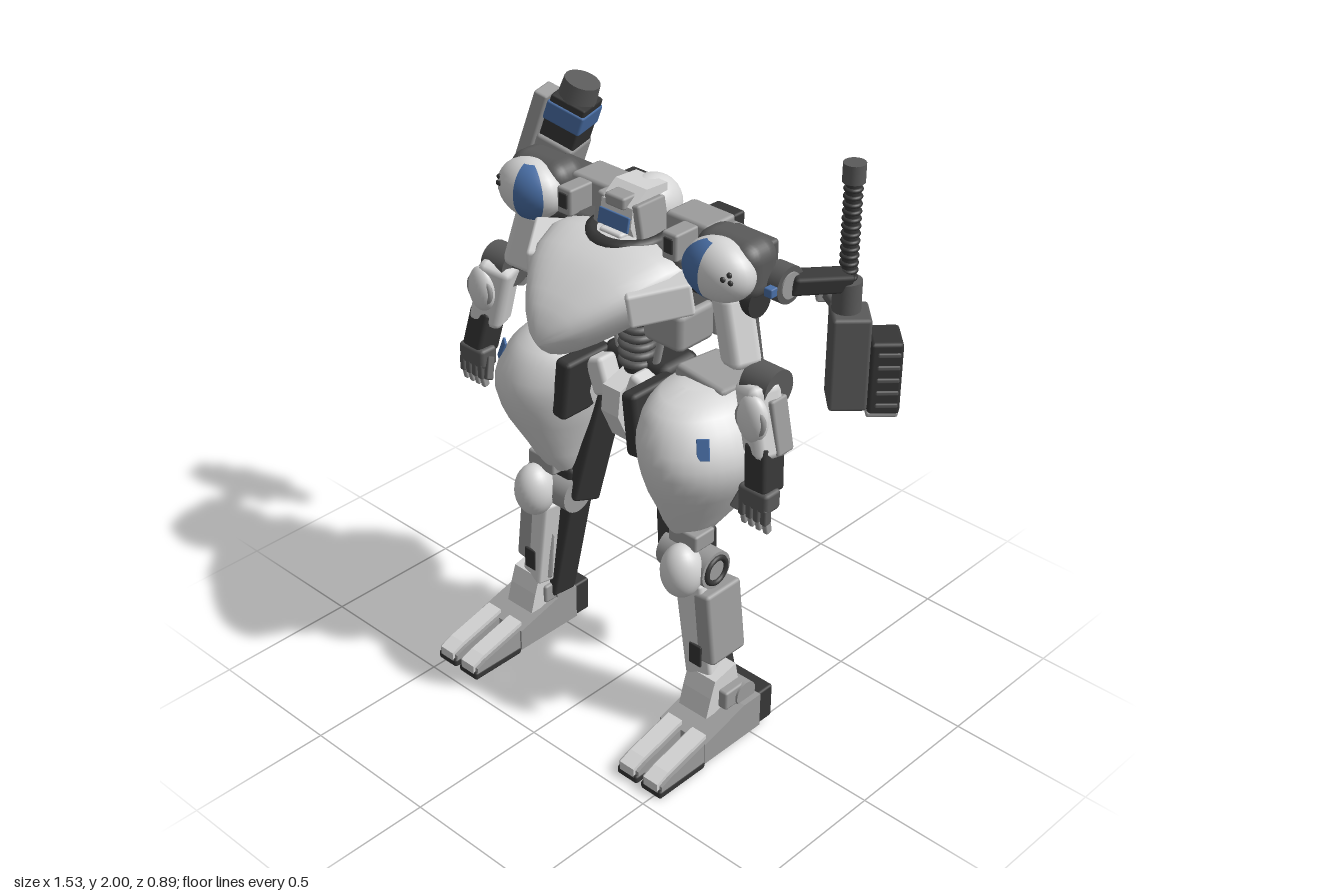
import * as THREE from 'three';
import { toCreasedNormals } from 'three/addons/utils/BufferGeometryUtils.js';
import { RoundedBoxGeometry } from 'three/addons/geometries/RoundedBoxGeometry.js';

const colour = (name, hex) => Object.assign(new THREE.MeshStandardMaterial({ color: hex }), { name });
const V = (p) => new THREE.Vector3(...p);
const X = [0, 0, Math.PI / 2];

const box = (w, h, d, r = 0.008, s = 1) => new RoundedBoxGeometry(w, h, d, s, r);
const cyl = (r1, r2, h, n = 20) => new THREE.CylinderGeometry(r1, r2, h, n);
const ball = (x, y, z) => new THREE.SphereGeometry(1, 28, 18).scale(x, y, z);
const ring = (r, t) => new THREE.TorusGeometry(r, t, 8, 24);

// Extrude a (z, y) side profile across x
function side(points, width) {
  const shape = new THREE.Shape(points.map((p) => new THREE.Vector2(...p)));
  const g = new THREE.ExtrudeGeometry(shape, { depth: width, bevelEnabled: false });
  return g.translate(0, 0, -width / 2).rotateY(-Math.PI / 2);
}

// Box running from a to b
function beam(a, b, w, d, r = 0.012) {
  const dir = V(b).sub(V(a));
  const g = box(w, dir.length(), d, r);
  const mid = V(a).add(V(b)).multiplyScalar(0.5);
  return g.applyQuaternion(new THREE.Quaternion().setFromUnitVectors(V([0, 1, 0]), dir.normalize())).translate(mid.x, mid.y, mid.z);
}

// Skin a list of equal-sized rings and close both ends
function loft(rings, crease) {
  const n = rings[0].length, pos = rings.flat(2), idx = [];
  for (let i = 0; i < rings.length - 1; i++) for (let j = 0; j < n; j++) {
    const a = i * n + j, b = i * n + (j + 1) % n;
    idx.push(a, b, b + n, a, b + n, a + n);
  }
  const last = (rings.length - 1) * n;
  for (let j = 1; j < n - 1; j++) idx.push(0, j + 1, j, last, last + j, last + j + 1);
  const g = new THREE.BufferGeometry();
  g.setAttribute('position', new THREE.Float32BufferAttribute(pos, 3));
  g.setIndex(idx);
  g.computeVertexNormals();
  return toCreasedNormals(g, crease);
}

// Mirror in x, restoring the corner order
function mirrored(geo) {
  const g = (geo.index ? geo.toNonIndexed() : geo.clone()).scale(-1, 1, 1);
  for (const { array, itemSize: k } of Object.values(g.attributes))
    for (let t = 0; t < array.length; t += 3 * k) for (let c = 0; c < k; c++) {
      const q = array[t + k + c];
      array[t + k + c] = array[t + 2 * k + c];
      array[t + 2 * k + c] = q;
    }
  return g;
}

export function createModel() {
  const light = colour('light armour', 0xd6d6d6), grey = colour('mid grey', 0x9c9c9c);
  const dark = colour('dark grey', 0x5a5a5a), black = colour('charcoal', 0x363636), blue = colour('blue', 0x4a70a8);
  const model = new THREE.Group();
  let group;
  const section = (name) => { group = new THREE.Group(); group.name = name; model.add(group); };
  const one = (name, mat, geo, p = [0, 0, 0], r = [0, 0, 0]) => {
    geo.rotateX(r[0]).rotateY(r[1]).rotateZ(r[2]).translate(...p);
    const m = new THREE.Mesh(geo, mat);
    m.name = name;
    group.add(m);
    return m;
  };
  const pair = (name, mat, geo, p, r) => {
    const m = one(name + 'Left', mat, geo, p, r);
    const o = new THREE.Mesh(mirrored(m.geometry), mat);
    o.name = name + 'Right';
    group.add(o);
  };

  section('feet');
  pair('foot', grey, side([[-0.03, 0.02], [0.24, 0.02], [0.24, 0.1], [0.05, 0.15], [-0.03, 0.15]], 0.2), [0.43, 0, 0]);
  pair('heel', black, box(0.19, 0.13, 0.075), [0.43, 0.085, -0.06]);
  for (const x of [0.38, 0.485]) {
    pair('toe', light, side([[0.22, 0.02], [0.45, 0.02], [0.45, 0.055], [0.4, 0.075], [0.22, 0.12]], 0.06), [x, 0, 0]);
    pair('toeEdge', grey, side([[0.22, 0.02], [0.44, 0.02], [0.44, 0.045], [0.4, 0.06], [0.22, 0.105]], 0.085), [x, 0, 0]);
    pair('toeSole', black, box(0.088, 0.03, 0.215), [x, 0.015, 0.343]);
    for (const y of [0.05, 0.085, 0.12]) pair('heelStud', black, box(0.05, 0.02, 0.012, 0.004), [x, y, -0.1]);
  }
  pair('ankleGuard', light, side([[0, 0.13], [0.17, 0.13], [0.15, 0.2], [0.13, 0.26], [0.03, 0.28]], 0.12), [0.41, 0, 0]);
  pair('ankleCuff', grey, box(0.165, 0.07, 0.1), [0.42, 0.18, 0.06]);
  pair('ankleJoint', grey, cyl(0.045, 0.045, 0.18), [0.42, 0.17, 0.02], X);

  section('shins');
  pair('shinFrame', black, beam([0.27, 0.66, 0.03], [0.38, 0.17, 0.025], 0.11, 0.1));
  pair('shinArmour', light, beam([0.335, 0.59, 0.085], [0.385, 0.24, 0.08], 0.1, 0.1));
  pair('shinSidePlate', grey, beam([0.395, 0.57, 0.05], [0.425, 0.31, 0.05], 0.07, 0.16));
  pair('shinVent', black, box(0.05, 0.08, 0.01, 0.003), [0.385, 0.33, 0.133]);
  pair('shinRod', grey, beam([0.31, 0.55, 0.1], [0.345, 0.25, 0.09], 0.03, 0.03));
  pair('kneeJoint', grey, cyl(0.066, 0.066, 0.2, 28), [0.31, 0.645, 0.07], X);
  pair('kneeRing', black, ring(0.045, 0.01), [0.41, 0.645, 0.07], [0, Math.PI / 2, 0]);
  pair('kneeBack', black, box(0.13, 0.16, 0.11, 0.02), [0.28, 0.67, 0.04]);
  pair('kneecap', light, ball(0.07, 0.095, 0.07), [0.335, 0.65, 0.15]);
  pair('kneeTop', grey, box(0.12, 0.06, 0.09), [0.32, 0.755, 0.09]);

  section('thighs');
  // y, centre x, radius x, centre z, radius z
  const thigh = [[0.74, 0.28, 0.055, 0.04, 0.08], [0.77, 0.285, 0.075, 0.035, 0.105], [0.815, 0.292, 0.098, 0.02, 0.148],
    [0.86, 0.3, 0.12, 0.005, 0.185], [0.95, 0.313, 0.163, 0.002, 0.237], [1.0, 0.319, 0.181, 0.006, 0.252], [1.05, 0.321, 0.193, 0.01, 0.26],
    [1.09, 0.317, 0.197, 0.01, 0.261], [1.13, 0.31, 0.194, 0.008, 0.255], [1.19, 0.298, 0.172, 0.005, 0.23],
    [1.225, 0.29, 0.146, 0.005, 0.2], [1.25, 0.285, 0.115, 0.005, 0.155], [1.268, 0.285, 0.06, 0.005, 0.08]];
  pair('thighShell', light, loft(thigh.map(([y, cx, rx, cz, rz]) => Array.from({ length: 36 }, (_, i) => {
    const a = i / 36 * Math.PI * 2;
    return [cx + rx * Math.sin(a), y, cz + rz * Math.cos(a)];
  })), 0.9));
  pair('thighFrame', black, beam([0.14, 1.2, -0.03], [0.24, 0.64, 0.04], 0.1, 0.14));
  pair('hipBracket', black, box(0.06, 0.22, 0.2, 0.015), [0.155, 1.13, 0.1], [0, 0, 0.12]);
  pair('thighCap', grey, box(0.2, 0.05, 0.2, 0.015), [0.28, 1.25, -0.07], [-0.12, 0, -0.12]);
  pair('thighMark', blue, box(0.04, 0.07, 0.009, 0.003), [0.44, 1.16, 0.178], [-0.25, 0.62, 0.1]);
  pair('thighVent', black, box(0.045, 0.1, 0.02), [0.31, 1.065, -0.252]);
  for (let i = 0; i < 4; i++) pair('thighVentRib', dark, box(0.035, 0.01, 0.012, 0.003), [0.31, 1.03 + i * 0.023, -0.262]);

  section('pelvis');
  one('pelvisBlock', black, box(0.28, 0.2, 0.17, 0.03), [0, 1.15, -0.06]);
  one('crotchGuard', light, side([[0.02, 1.2], [0.02, 1.02], [0.08, 0.97], [0.13, 1.08], [0.12, 1.17]], 0.075));
  pair('hipPlate', light, box(0.075, 0.13, 0.08, 0.015), [0.08, 1.17, 0.07], [0, 0, -0.35]);
  one('waistCore', black, cyl(0.045, 0.045, 0.28), [0, 1.31, 0]);
  for (let i = 0; i < 7; i++) one('waistRing', dark, ring(0.052, 0.013), [0, 1.23 + i * 0.031, 0], [Math.PI / 2, 0, 0]);
  pair('waistPiston', grey, beam([0.07, 1.2, 0], [0.12, 1.42, 0], 0.025, 0.025));

  section('torso');
  // z, half width, widest y, top y, keel y
  const chest = [[0.04, 0.26, 1.62, 1.705, 1.42], [0.13, 0.255, 1.62, 1.71, 1.4], [0.22, 0.228, 1.6, 1.68, 1.39],
    [0.27, 0.2, 1.582, 1.655, 1.385], [0.31, 0.17, 1.56, 1.625, 1.385], [0.35, 0.135, 1.535, 1.595, 1.39],
    [0.385, 0.098, 1.51, 1.56, 1.405], [0.415, 0.055, 1.48, 1.52, 1.43], [0.43, 0.012, 1.46, 1.475, 1.45]];
  one('chestHull', light, loft(chest.map(([z, w, m, t, k]) => Array.from({ length: 32 }, (_, i) => {
    const a = i / 32 * Math.PI * 2, c = Math.cos(a), s = Math.sin(a), e = s > 0 ? 0.75 : 1.35;
    return [w * Math.sign(c) * Math.abs(c) ** e, m + (s > 0 ? t - m : k - m) * Math.abs(s) ** e, z];
  })), 0.6));
  one('torsoCore', dark, box(0.5, 0.28, 0.2, 0.02), [0, 1.56, -0.02]);
  pair('chestSidePlate', light, box(0.1, 0.11, 0.2, 0.012), [0.235, 1.59, 0.16], [0.15, -0.65, 0]);
  pair('sideIntake', grey, box(0.16, 0.13, 0.16, 0.02), [0.19, 1.45, 0.02]);
  pair('collarBlock', grey, box(0.06, 0.09, 0.1), [0.22, 1.735, 0.05]);
  pair('collarVent', black, box(0.035, 0.05, 0.008, 0.003), [0.22, 1.74, 0.102]);
  pair('shoulderAxle', black, cyl(0.05, 0.05, 0.3), [0.35, 1.62, 0.01], X);

  section('head');
  one('neckCollar', black, ring(0.115, 0.025), [0, 1.69, 0.04], [Math.PI / 2, 0, 0]);
  one('headDome', light, ball(0.09, 0.1, 0.11), [0, 1.745, -0.055]);
  one('helmet', light, side([[-0.06, 1.69], [0.08, 1.69], [0.1, 1.74], [0.09, 1.8], [0.03, 1.845], [-0.06, 1.84]], 0.13));
  one('browBlock', grey, box(0.08, 0.04, 0.08), [0, 1.81, 0.065]);
  one('visor', blue, box(0.125, 0.05, 0.009, 0.003), [0, 1.75, 0.105], [-0.2, 0, 0]);
  one('chinGuard', light, box(0.09, 0.03, 0.04), [0, 1.705, 0.105]);
  pair('cheekGuard', grey, box(0.03, 0.12, 0.12), [0.082, 1.755, 0.03], [0, 0, 0.2]);

  section('backpack');
  pair('packBody', grey, box(0.17, 0.34, 0.13, 0.015), [0.2, 1.56, -0.12]);
  pair('packTop', grey, box(0.17, 0.1, 0.13, 0.012), [0.2, 1.735, -0.06]);
  pair('exhaust', black, box(0.11, 0.05, 0.05), [0.18, 1.72, -0.2]);
  pair('grille', dark, box(0.13, 0.24, 0.012, 0.004), [0.2, 1.56, -0.188]);
  for (let i = 0; i < 7; i++) pair('grilleBar', black, box(0.125, 0.014, 0.02, 0.004), [0.2, 1.461 + i * 0.033, -0.197]);
  for (let i = 0; i < 4; i++) pair('grillePost', black, box(0.012, 0.23, 0.02, 0.004), [0.149 + i * 0.034, 1.56, -0.197]);
  for (let i = 0; i < 7; i++) one('vertebra', i % 2 ? dark : black, box(0.1, 0.042, 0.07), [0, 1.33 + i * 0.055, -0.14]);
  pair('shoulderFrame', dark, box(0.17, 0.13, 0.07, 0.012), [0.36, 1.69, -0.105]);

  section('shoulders');
  pair('shoulderBody', dark, box(0.24, 0.19, 0.155, 0.06, 4), [0.395, 1.715, 0]);
  pair('shoulderShell', light, ball(0.125, 0.097, 0.085), [0.395, 1.715, 0.07]);
  pair('shoulderStripe', blue, new THREE.SphereGeometry(1, 12, 16, 0.6, 0.9, 0.35, 2.35).scale(0.128, 0.0995, 0.0875), [0.395, 1.715, 0.07]);
  for (const [x, y, z] of [[0.48, 1.745, 0.126], [0.465, 1.73, 0.137], [0.485, 1.722, 0.126]]) pair('shoulderPort', black, ball(0.009, 0.009, 0.007), [x, y, z]);
  pair('mountDisc', dark, cyl(0.06, 0.06, 0.06, 28), [0.525, 1.67, -0.06], X);
  pair('mountCap', grey, cyl(0.042, 0.042, 0.07, 28), [0.525, 1.67, -0.06], X);
  pair('mountMark', blue, box(0.03, 0.03, 0.03, 0.004), [0.54, 1.67, 0.01]);

  section('arms');
  pair('upperArm', light, beam([0.405, 1.63, 0.03], [0.47, 1.41, 0.045], 0.125, 0.1, 0.025));
  pair('upperArmBack', dark, beam([0.43, 1.6, -0.01], [0.5, 1.38, 0.02], 0.08, 0.06));
  pair('upperArmMark', blue, box(0.008, 0.05, 0.03, 0.003), [0.497, 1.53, 0.035], [0, 0, 0.29]);
  pair('elbow', dark, cyl(0.065, 0.065, 0.1, 24), [0.56, 1.38, 0.04], X);
  pair('forearm', light, beam([0.55, 1.4, 0.07], [0.605, 1.17, 0.08], 0.12, 0.11, 0.025));
  pair('forearmPad', light, ball(0.055, 0.08, 0.035), [0.585, 1.31, 0.125]);
  pair('forearmRing', grey, ring(0.05, 0.009), [0.585, 1.31, 0.135]);
  pair('forearmPlate', grey, box(0.03, 0.18, 0.07), [0.635, 1.28, 0.06], [0, 0, 0.2]);
  pair('wrist', black, beam([0.6, 1.22, 0.085], [0.625, 1.07, 0.11], 0.095, 0.085));
  pair('palm', dark, box(0.115, 0.07, 0.07, 0.012), [0.62, 1.055, 0.125]);
  for (let i = 0; i < 4; i++) {
    pair('finger', dark, box(0.022, 0.055, 0.03, 0.005), [0.578 + i * 0.029, 1.01, 0.145]);
    pair('fingertip', grey, box(0.019, 0.045, 0.025, 0.005), [0.578 + i * 0.029, 0.97, 0.138], [0.2, 0, 0]);
  }
  pair('thumb', dark, beam([0.565, 1.06, 0.12], [0.545, 0.99, 0.15], 0.025, 0.03, 0.005));

  section('cannon');
  // Stacked along its own axis, then tilted into place
  const top = V([-0.5, 1.94, -0.265]), tip = V([-0.74, 1.17, -0.18]);
  const turn = new THREE.Quaternion().setFromUnitVectors(V([0, 1, 0]), top.clone().sub(tip).normalize());
  const mid = top.clone().add(tip).multiplyScalar(0.5);
  const gun = (name, mat, geo, x, y, z) => one(name, mat, geo.translate(x, y, z).rotateY(0.3).applyQuaternion(turn).translate(...mid));
  gun('breechCap', dark, cyl(0.06, 0.065, 0.07), 0, 0.375, 0);
  gun('breech', black, box(0.13, 0.2, 0.13), 0, 0.25, 0);
  gun('breechBand', blue, box(0.14, 0.07, 0.14), 0, 0.29, 0);
  gun('cannonBody', grey, box(0.14, 0.24, 0.15, 0.015), 0, 0.08, 0);
  gun('bodyCollar', grey, box(0.18, 0.05, 0.17), -0.01, 0.03, 0);
  gun('sideRail', grey, box(0.05, 0.3, 0.1), -0.105, 0.17, 0);
  gun('bodyMark', blue, box(0.03, 0.05, 0.16), 0.06, 0.0, 0);
  gun('barrel', dark, cyl(0.052, 0.034, 0.34), 0, -0.2, 0);
  gun('muzzle', grey, cyl(0.034, 0.03, 0.07), 0, -0.375, 0);
  for (let i = 0; i < 6; i++) gun('barrelRing', i % 2 ? dark : black, cyl(0.062 - i * 0.004, 0.06 - i * 0.004, 0.022), 0, -0.07 - i * 0.048, 0);
  gun('barrelRail', grey, box(0.025, 0.22, 0.03), 0.055, -0.12, 0);
  one('cannonMount', dark, beam([-0.52, 1.67, -0.08], [-0.58, 1.66, -0.21], 0.07, 0.06));

  section('antennaPod');
  const yaw = [0, Math.PI / 4, 0];
  one('podArm', black, beam([0.54, 1.67, -0.07], [0.595, 1.62, -0.28], 0.065, 0.065));
  one('podHinge', dark, cyl(0.045, 0.045, 0.1), [0.595, 1.57, -0.28]);
  one('podInner', dark, box(0.12, 0.32, 0.13, 0.012), [0.605, 1.355, -0.29], yaw);
  one('podOuter', black, box(0.1, 0.25, 0.13, 0.012), [0.685, 1.31, -0.365], yaw);
  for (let i = 0; i < 5; i++) one('podRib', dark, box(0.07, 0.016, 0.14, 0.005), [0.69, 1.22 + i * 0.044, -0.37], yaw);
  one('podFoot', grey, box(0.1, 0.02, 0.12), [0.685, 1.185, -0.36], yaw);
  one('sensorArm', dark, beam([0.57, 1.5, -0.28], [0.47, 1.5, -0.34], 0.03, 0.03));
  one('sensorRim', grey, box(0.055, 0.05, 0.055), [0.455, 1.5, -0.35], yaw);
  one('sensorLens', blue, box(0.04, 0.009, 0.04, 0.003), [0.455, 1.527, -0.35], yaw);
  one('antenna', black, cyl(0.022, 0.022, 0.36, 16), [0.595, 1.77, -0.28]);
  for (let i = 0; i < 13; i++) one('antennaRing', black, ring(0.023, 0.007), [0.595, 1.63 + i * 0.024, -0.28], [Math.PI / 2, 0, 0]);
  one('antennaCap', dark, cyl(0.035, 0.035, 0.06, 16), [0.595, 1.97, -0.28]);
  return model;
}
